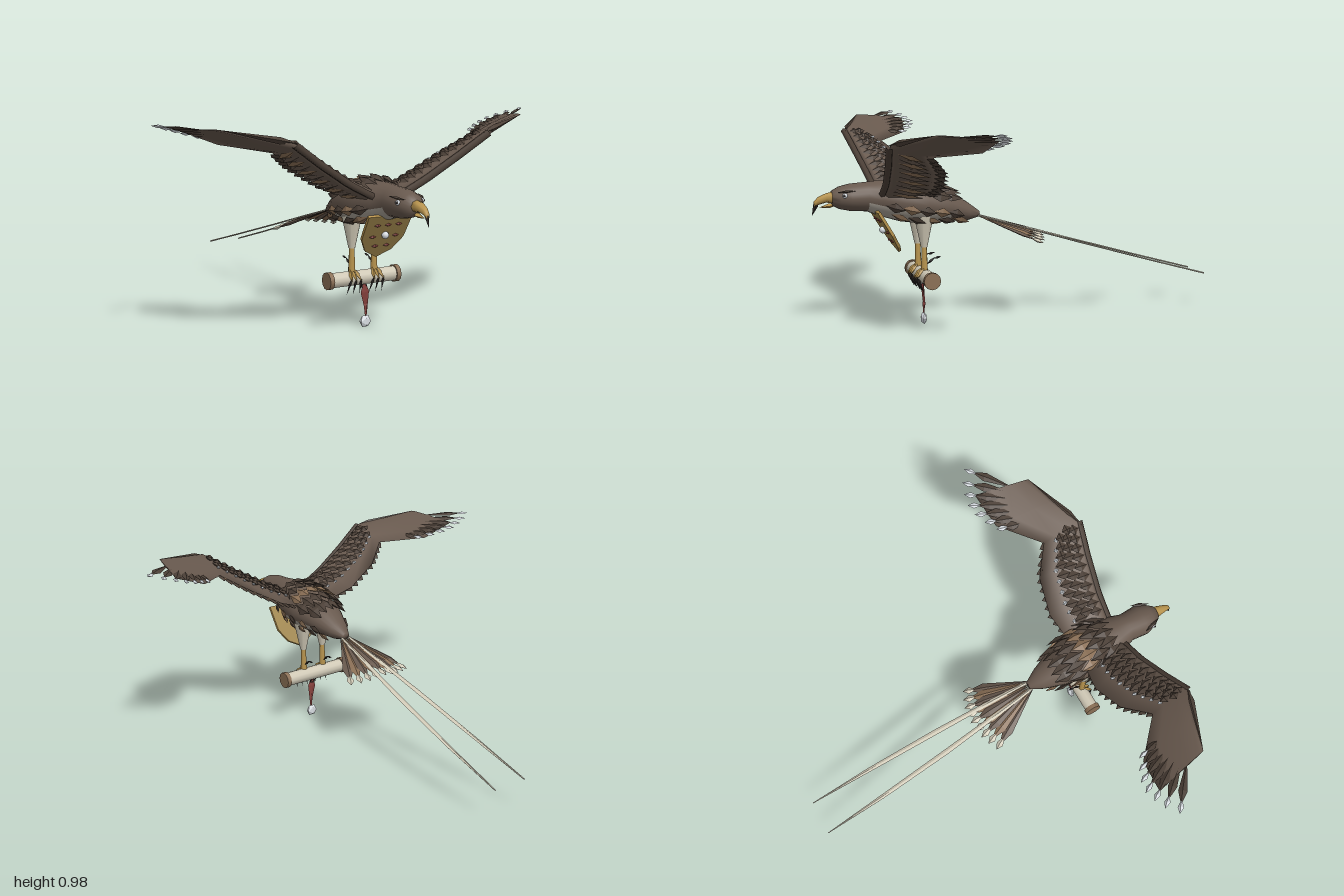
import * as THREE from 'three';

const V = (x, y, z) => new THREE.Vector3(x, y, z);
const mat = (name, color) => {
  const m = new THREE.MeshStandardMaterial({ color });
  m.name = name;
  return m;
};

export function createModel() {
  const model = new THREE.Group();
  model.name = 'perchedBird';
  const brown = mat('brown plumage', 0x68594e), dark = mat('dark plumage', 0x4c4037);
  const tan = mat('tan feather', 0x8a6f55), gold = mat('gold', 0xb8944e);
  const shieldGold = mat('dull gold', 0xa0864c), ivory = mat('ivory', 0xd0c9b6);
  const silver = mat('silver', 0xd8dde2), black = mat('black horn', 0x2a2523);
  const red = mat('red cloth', 0x86403c), belly = mat('pale belly', 0xa9a297);

  const add = (parent, name, geo, material) => {
    const m = new THREE.Mesh(geo, material);
    m.name = name;
    parent.add(m);
    return m;
  };
  const flat = (geo) => {
    const g = geo.index ? geo.toNonIndexed() : geo;
    g.computeVertexNormals();
    return g;
  };

  // Skin over equal-length rings with closed ends; pick(i, j) sets the material slot
  function loft(rings, pick = () => 0) {
    const n = rings[0].length, pts = rings.flat(), idx = [[], []];
    for (let i = 0; i < rings.length - 1; i++) for (let j = 0; j < n; j++) {
      const a = i * n + j, b = i * n + (j + 1) % n;
      idx[pick(i, j)].push(a, b, b + n, a, b + n, a + n);
    }
    const last = (rings.length - 1) * n;
    for (let j = 1; j < n - 1; j++) idx[0].push(0, j + 1, j, last, last + j, last + j + 1);
    const g = new THREE.BufferGeometry().setFromPoints(pts);
    g.setIndex([...idx[0], ...idx[1]]);
    if (idx[1].length) {
      g.addGroup(0, idx[0].length, 0);
      g.addGroup(idx[0].length, idx[1].length, 1);
    }
    g.computeVertexNormals();
    return g;
  }
  const ellipse = (x, y, z, rx, ry, n) => Array.from({ length: n }, (_, j) => {
    const a = j / n * Math.PI * 2;
    return V(x + Math.cos(a) * rx, y + Math.sin(a) * ry, z);
  });

  // Faceted feather between two points, widest at f (-1 base, 1 tip)
  function feather(parent, name, from, to, w, t, material, up = V(0, 1, 0), f = 0) {
    const g = new THREE.OctahedronGeometry(1), p = g.attributes.position;
    for (let i = 0; i < p.count; i++) if (Math.abs(p.getY(i)) < 0.5) p.setY(i, f);
    const dir = to.clone().sub(from), len = dir.length();
    dir.normalize();
    const side = dir.clone().cross(up).normalize(), nor = side.clone().cross(dir);
    g.scale(w / 2, len / 2, t / 2);
    g.applyMatrix4(new THREE.Matrix4().makeBasis(side, dir, nor));
    const mid = from.clone().lerp(to, 0.5);
    g.translate(mid.x, mid.y, mid.z);
    return add(parent, name, flat(g), material);
  }

  // Body and head: z, centre y, half width, half height
  const S = [[0.19, 0.525, 0.02, 0.015], [0.25, 0.54, 0.055, 0.045], [0.35, 0.57, 0.095, 0.075],
    [0.47, 0.59, 0.125, 0.102], [0.58, 0.605, 0.125, 0.1], [0.68, 0.62, 0.092, 0.085],
    [0.74, 0.63, 0.07, 0.07], [0.82, 0.63, 0.077, 0.064], [0.87, 0.63, 0.06, 0.053], [0.905, 0.63, 0.034, 0.034]];
  const N = 20;
  add(model, 'body', loft(S.map(([z, y, rx, ry]) => ellipse(0, y, z, rx, ry, N)),
    (i, j) => (i >= 2 && i < 6 && j > 10 && j < 19) ? 1 : 0), [brown, belly]);
  function bodyAt(z, a, lift) {
    let i = 0;
    while (i < S.length - 2 && S[i + 1][0] < z) i++;
    const k = (z - S[i][0]) / (S[i + 1][0] - S[i][0]);
    const [, y, rx, ry] = S[i].map((v, c) => v + (S[i + 1][c] - v) * k);
    return V(Math.cos(a) * (rx + lift), y + Math.sin(a) * (ry + lift), z);
  }
  // Overlapping scales on the back and along the flanks
  [[0.66, dark, 5], [0.6, dark, 6], [0.54, tan, 5], [0.47, dark, 6], [0.41, dark, 5]].forEach(([z, m, n]) => {
    for (let k = 0; k < n; k++) {
      const a = Math.PI / 2 + (k - (n - 1) / 2) * 0.42;
      feather(model, 'backScale', bodyAt(z, a, 0), bodyAt(z - 0.12, a, 0.03), 0.06, 0.025, m,
        V(Math.cos(a), Math.sin(a), 0));
    }
  });
  for (const s of [-1, 1]) for (const row of [0, 1]) for (let k = 0; k < 5; k++) {
    const z = 0.67 - k * 0.075 - row * 0.03, a = -Math.PI / 2 + s * (1.3 - row * 0.5);
    feather(model, 'flankFeather', bodyAt(z, a, 0), bodyAt(z - 0.085, a, 0.022), 0.05, 0.02,
      (k + row) % 2 ? tan : dark, V(Math.cos(a), Math.sin(a), 0));
  }

  // Beak and eyes
  add(model, 'upperBeak', loft([ellipse(0, 0.632, 0.885, 0.034, 0.03, 8), ellipse(0, 0.632, 0.93, 0.024, 0.022, 8),
    ellipse(0, 0.618, 0.97, 0.015, 0.018, 8), ellipse(0, 0.602, 0.988, 0.009, 0.014, 8)]), gold);
  feather(model, 'lowerBeak', V(0, 0.6, 0.87), V(0, 0.588, 0.965), 0.035, 0.022, gold);
  feather(model, 'beakHook', V(0, 0.618, 0.972), V(0, 0.55, 0.998), 0.022, 0.024, black, V(0, 0, 1), -0.4);
  for (const s of [-1, 1]) {
    const eye = add(model, 'eye', new THREE.SphereGeometry(0.012, 10, 8), silver);
    eye.position.set(s * 0.061, 0.645, 0.853);
    const pupil = add(model, 'pupil', new THREE.SphereGeometry(0.006, 8, 6), black);
    pupil.position.set(s * 0.069, 0.646, 0.858);
    feather(model, 'brow', V(s * 0.045, 0.66, 0.892), V(s * 0.077, 0.668, 0.80), 0.02, 0.012, dark);
  }

  // Wings: leading and trailing edge points and thickness from root to tip
  const lead = [[0.06, 0.64, 0.68], [0.2, 0.71, 0.69], [0.36, 0.81, 0.715], [0.5, 0.905, 0.742], [0.64, 0.94, 0.685], [0.785, 0.968, 0.62]].map(p => V(...p));
  const trail = [[0.06, 0.62, 0.46], [0.22, 0.68, 0.43], [0.38, 0.77, 0.46], [0.5, 0.85, 0.55], [0.68, 0.88, 0.385], [0.845, 0.945, 0.36]].map(p => V(...p));
  const thick = [0.065, 0.06, 0.052, 0.046, 0.03, 0.008];
  const wingUp = V(-0.45, 0.89, 0);
  function wingAt(s, t, side) {
    const i = Math.min(Math.floor(s), 4), k = s - i;
    const l = lead[i].clone().lerp(lead[i + 1], k), r = trail[i].clone().lerp(trail[i + 1], k);
    const th = thick[i] + (thick[i + 1] - thick[i]) * k;
    const bulge = Math.sin(Math.PI * Math.sqrt(t)) * th * (side > 0 ? 0.55 : 0.35);
    return l.lerp(r, t).addScaledVector(wingUp, bulge * side);
  }
  function buildWing() {
    const wing = new THREE.Group();
    const rings = lead.map((_, i) => [[1, 1], [0.7, 1], [0.35, 1], [0.1, 1], [0, 1], [0.1, -1], [0.35, -1], [0.7, -1]]
      .map(([t, sd]) => wingAt(i, t, sd)));
    add(wing, 'wingMembrane', loft(rings), brown);
    // Bony leading edge
    const path = new THREE.CurvePath();
    for (let i = 0; i < 3; i++) path.add(new THREE.LineCurve3(lead[i], lead[i + 1]));
    add(wing, 'wingArm', new THREE.TubeGeometry(path, 12, 0.017, 6), dark);
    feather(wing, 'wingHand', lead[3].clone().add(V(-0.03, 0, 0)), lead[5], 0.035, 0.03, dark, wingUp, -0.5);
    // Covert scales above, in rows running back from the arm
    [0.08, 0.26, 0.42].forEach((t, row) => {
      for (let k = 0; k < 10; k++) {
        const s = 0.5 + (k + (row % 2) * 0.5) * 0.26;
        const tip = wingAt(Math.min(s + 0.05, 3), t + 0.28, 1).addScaledVector(wingUp, 0.012);
        feather(wing, 'covertScale', wingAt(Math.min(s, 3), t, 1), tip, 0.052, 0.022, dark, wingUp);
      }
    });
    // Silver studs behind the coverts
    for (let k = 0; k < 9; k++) {
      const p = wingAt(0.55 + k * 0.29, 0.68, 1).addScaledVector(wingUp, 0.006);
      feather(wing, 'wingStud', p.clone().add(V(0, 0, 0.014)), p.clone().add(V(0, 0, -0.014)), 0.024, 0.014, silver, wingUp);
    }
    // Feathers under the arm and along its trailing edge
    for (let k = 0; k < 11; k++) {
      const s = 0.45 + k * 0.24;
      feather(wing, 'underFeather', wingAt(s, 0.15, -1), wingAt(s, 0.75, -1).addScaledVector(wingUp, -0.018), 0.045, 0.018, k % 2 ? brown : tan, wingUp);
      const e = wingAt(s, 0.8, -1);
      feather(wing, 'trailingFeather', e, wingAt(s, 1, 1).add(V(0.01, -0.012, -0.014)), 0.05, 0.014, dark, wingUp);
    }
    // Fanned primaries with silver tips
    const tipZ = [0.375, 0.34, 0.315, 0.305, 0.315, 0.335, 0.375];
    tipZ.forEach((z, k) => {
      const u = k / 6, tip = V(0.66 + u * 0.32, 0.885 + u * 0.09, z);
      const root = V(0.62, 0.89, 0.53).lerp(V(0.78, 0.958, 0.54), u);
      const mid = tip.clone().lerp(root, 0.06 / tip.distanceTo(root));
      feather(wing, 'primaryFeather', root, mid.clone().lerp(tip, 0.3), 0.042, 0.014, dark, wingUp, 0.4);
      feather(wing, 'primaryTip', mid.clone().lerp(root, 0.05), tip, 0.028, 0.016, silver, wingUp, 0.1);
    });
    return wing;
  }
  for (const s of [1, -1]) {
    const wing = buildWing();
    wing.name = s > 0 ? 'leftWing' : 'rightWing';
    wing.scale.x = s;
    model.add(wing);
  }

  // Tail fan
  for (let k = -4; k <= 4; k++) {
    const u = k / 4, root = V(u * 0.02, 0.52, 0.21);
    const tip = V(u * 0.175, 0.415 - Math.abs(u) * 0.025, -0.135 + u * u * 0.05);
    feather(model, 'tailFeather', root, root.clone().lerp(tip, 0.93), 0.052, 0.018, k % 2 ? tan : brown, V(0, 1, 0), 0.5);
    feather(model, 'tailTip', root.clone().lerp(tip, 0.78), tip, 0.036, 0.02, ivory, V(0, 1, 0), 0.2);
  }
  // Long tail streamers
  for (const s of [-1, 1]) {
    const rings = [[0.088, 0.17, -1, 0.002], [0.078, 0.26, -0.68, 0.011], [0.058, 0.37, -0.3, 0.014],
      [0.036, 0.46, 0, 0.011], [0.018, 0.525, 0.22, 0.006]].map(([x, y, z, w]) => ellipse(s * x, y, z, w, 0.004, 4));
    add(model, 'tailStreamer', flat(loft(rings)), ivory);
  }

  // Chest shield leaning back towards its point
  const shield = new THREE.Group();
  shield.name = 'chestShield';
  shield.position.set(0, 0.57, 0.7);
  shield.rotation.x = 0.537;
  model.add(shield);
  const outline = new THREE.Shape([[-0.115, 0], [-0.11, -0.13], [-0.07, -0.2], [0, -0.24], [0.07, -0.2], [0.11, -0.13], [0.115, 0]]
    .map(p => new THREE.Vector2(...p)).reverse());
  add(shield, 'shieldPlate', new THREE.ExtrudeGeometry(outline, { depth: 0.014, bevelEnabled: false }), [shieldGold, gold]);
  for (const [x, y] of [[-0.055, -0.05], [0.055, -0.05], [-0.06, -0.115], [0.06, -0.115], [-0.03, -0.17], [0.03, -0.17], [0, -0.05]])
    feather(shield, 'shieldStud', V(x - 0.018, y, 0.016), V(x + 0.018, y, 0.016), 0.018, 0.018, red, V(0, 0, 1));
  add(shield, 'shieldGem', new THREE.SphereGeometry(0.017, 10, 8), silver).position.set(0, -0.105, 0.022);

  // Legs, toes and claws
  for (const s of [-1, 1]) {
    const leg = new THREE.Group();
    leg.name = s > 0 ? 'leftLeg' : 'rightLeg';
    leg.position.set(s * 0.06, 0, 0.48);
    model.add(leg);
    add(leg, 'thigh', new THREE.CylinderGeometry(0.048, 0.016, 0.15, 10), ivory).position.y = 0.46;
    add(leg, 'shank', new THREE.CylinderGeometry(0.012, 0.017, 0.14, 8), gold).position.y = 0.335;
    feather(leg, 'spur', V(0, 0.3, -0.01), V(0, 0.335, -0.055), 0.014, 0.014, black);
    feather(leg, 'spurTip', V(0, 0.328, -0.045), V(0, 0.335, -0.085), 0.012, 0.012, black);
    for (const t of [-1, 0, 1]) {
      const x = t * 0.026;
      feather(leg, 'toe', V(x * 0.4, 0.29, 0), V(x, 0.235, 0.05), 0.02, 0.022, gold);
      feather(leg, 'claw', V(x, 0.25, 0.045), V(x * 1.3, 0.17, 0.012), 0.014, 0.016, black, V(0, 0, 1), -0.4);
    }
  }

  // Perch with end caps
  const rod = (name, r, len, x, m) => {
    const c = add(model, name, new THREE.CylinderGeometry(r, r, len, 12), m);
    c.rotation.z = Math.PI / 2;
    c.position.set(x, 0.242, 0.475);
  };
  rod('perch', 0.035, 0.35, 0, ivory);
  for (const s of [-1, 1]) rod('perchCap', 0.041, 0.022, s * 0.179, tan);

  // Hanging tassel
  add(model, 'tasselRing', new THREE.TorusGeometry(0.012, 0.004, 6, 12), black).position.set(0.01, 0.2, 0.475);
  feather(model, 'tasselRibbon', V(0.008, 0.235, 0.478), V(0.026, 0.05, 0.474), 0.045, 0.014, red, V(0, 0, 1), -0.3);
  feather(model, 'tasselRibbonFold', V(0.024, 0.16, 0.472), V(0.018, 0.045, 0.476), 0.026, 0.016, red, V(0.3, 0, 1));
  const gem = add(model, 'tasselGem', flat(new THREE.IcosahedronGeometry(0.031, 0)), silver);
  gem.position.set(0.018, 0.031, 0.475);
  gem.scale.z = 0.5;

  return model;
}
